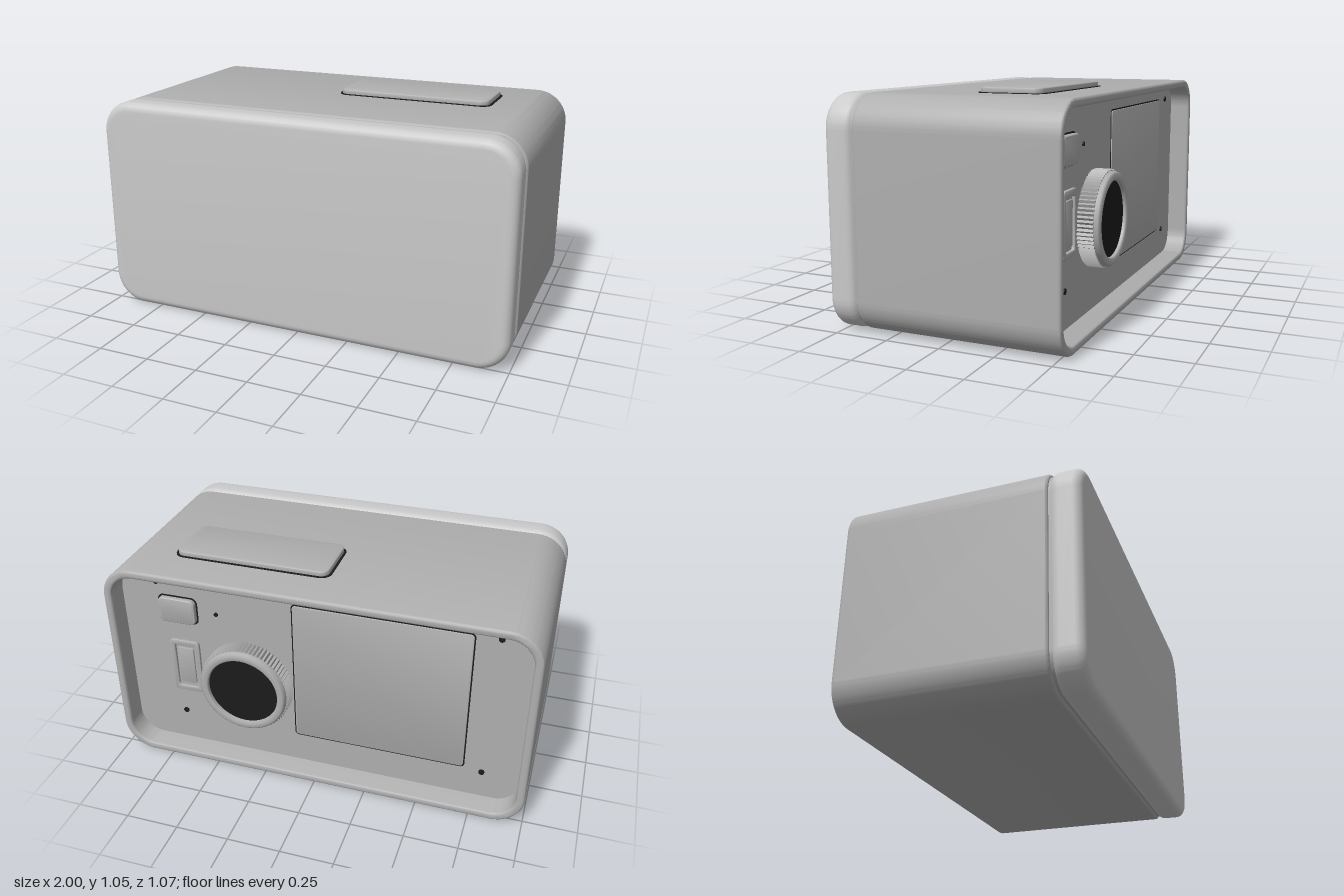
import * as THREE from 'three';
import { toCreasedNormals } from 'three/addons/utils/BufferGeometryUtils.js';

const mat = (name, color) => new THREE.MeshStandardMaterial({ name, color });

// Rounded rectangle centred on the origin
function roundedRect(w, h, r, Type = THREE.Shape) {
  const s = new Type(), x = w / 2, y = h / 2;
  s.moveTo(-x + r, -y);
  s.lineTo(x - r, -y);
  s.absarc(x - r, -y + r, r, -Math.PI / 2, 0);
  s.lineTo(x, y - r);
  s.absarc(x - r, y - r, r, 0, Math.PI / 2);
  s.lineTo(-x + r, y);
  s.absarc(-x + r, y - r, r, Math.PI / 2, Math.PI);
  s.lineTo(-x, -y + r);
  s.absarc(-x + r, -y + r, r, Math.PI, Math.PI * 1.5);
  return s;
}

// Slab from z0 to z1 with rounded rims, keeping the outline at full size
function slab(shape, z0, z1, bevel, crease = 0.6) {
  const g = new THREE.ExtrudeGeometry(shape, {
    depth: z1 - z0 - 2 * bevel, curveSegments: 14, bevelEnabled: bevel > 0,
    bevelThickness: bevel, bevelSize: bevel, bevelOffset: -bevel, bevelSegments: 5,
  });
  g.translate(0, 0, z0 + bevel);
  return toCreasedNormals(g, crease);
}

export function createModel() {
  const model = new THREE.Group();
  const light = mat('light grey', 0xcacaca);
  const grey = mat('mid grey', 0xafafaf);
  const dark = mat('near black', 0x1c1c1c);
  const H = 1.025, midY = H / 2, panelZ = -0.43;

  const add = (name, geometry, material, x = 0, y = 0, z = 0, parent = model) => {
    const m = new THREE.Mesh(geometry, material);
    m.name = name;
    m.position.set(x, y, z);
    parent.add(m);
    return m;
  };

  // Front cover, and the inset seam behind it
  add('frontCover', slab(roundedRect(2, H, 0.15), 0.395, 0.535, 0.04).clone(), light, 0, midY);
  add('coverSeam', slab(roundedRect(1.975, H - 0.025, 0.14), 0.37, 0.41, 0), grey, 0, midY);

  // Body shell, open at the back, closed by a recessed panel
  const shell = roundedRect(2, H, 0.15);
  shell.holes.push(roundedRect(1.92, H - 0.08, 0.115, THREE.Path));
  add('bodyShell', slab(shell, -0.535, 0.392, 0.014), grey, 0, midY);
  add('backPanel', slab(roundedRect(1.93, H - 0.07, 0.12), panelZ, 0.37, 0), grey, 0, midY);

  // Top bar button with its dark gap
  const topButton = new THREE.Group();
  topButton.name = 'topButton';
  topButton.position.set(0.35, H, -0.1875);
  topButton.rotation.x = -Math.PI / 2;
  model.add(topButton);
  add('buttonGap', slab(roundedRect(0.752, 0.306, 0.05), -0.01, 0.003, 0), dark, 0, 0, 0, topButton);
  add('buttonCap', slab(roundedRect(0.73, 0.285, 0.04), -0.01, 0.025, 0.008), grey, 0, 0, 0, topButton);

  // Battery cover with a thin dark outline
  add('batteryCoverGap', slab(roundedRect(0.826, 0.731, 0.02), -0.002, 0.01, 0), dark, -0.29, 0.56, panelZ);
  add('batteryCover', slab(roundedRect(0.814, 0.719, 0.016), -0.006, 0.01, 0.002), grey, -0.29, 0.56, panelZ);

  // Small back button
  add('backButtonGap', slab(roundedRect(0.196, 0.142, 0.03), -0.002, 0.01, 0), dark, 0.68, 0.8, panelZ);
  add('backButton', slab(roundedRect(0.182, 0.128, 0.025), -0.025, 0.01, 0.008), grey, 0.68, 0.8, panelZ);

  // Slide switch: raised frame around a sunken plate
  const frame = roundedRect(0.15, 0.29, 0.02);
  frame.holes.push(roundedRect(0.1, 0.235, 0.012, THREE.Path));
  add('switchFrame', slab(frame, -0.014, 0.01, 0.004), grey, 0.665, 0.49, panelZ);
  add('switchPlate', slab(roundedRect(0.082, 0.2, 0.01), -0.008, 0.01, 0.003), grey, 0.665, 0.49, panelZ);

  // Screws and pin hole
  const dots = [[0.78, 0.935, 0.014], [0.7, 0.21, 0.014], [-0.785, 0.185, 0.014],
    [-0.81, 0.92, 0.014], [0.49, 0.805, 0.01]];
  for (const [x, y, r] of dots) {
    const g = new THREE.CylinderGeometry(r, r, 0.012, 16).rotateX(Math.PI / 2);
    add(r > 0.012 ? 'screw' : 'pinHole', g, dark, x, y, panelZ);
  }

  // Knurled dial: toothed ring, smooth lip and dark centre
  const dial = new THREE.Group();
  dial.name = 'dial';
  dial.position.set(0.345, 0.46, 0);
  model.add(dial);
  const teeth = 72, points = [];
  for (let i = 0; i < teeth * 2; i++) {
    const a = (i / (teeth * 2)) * Math.PI * 2, r = i % 2 ? 0.211 : 0.221;
    points.push(new THREE.Vector2(Math.cos(a) * r, Math.sin(a) * r));
  }
  const gear = new THREE.Shape(points);
  gear.holes.push(new THREE.Path().absarc(0, 0, 0.178, 0, Math.PI * 2));
  add('dialKnurl', slab(gear, -0.505, panelZ + 0.01, 0), grey, 0, 0, 0, dial);
  const lip = [[0.172, 0.48], [0.172, 0.522], [0.178, 0.53], [0.2, 0.53], [0.21, 0.522], [0.213, 0.5]]
    .map(([r, z]) => new THREE.Vector2(r, z)).reverse();
  const lipMesh = add('dialLip', new THREE.LatheGeometry(lip, 64).rotateX(-Math.PI / 2), grey, 0, 0, 0, dial);
  lipMesh.material = Object.assign(grey, { side: THREE.DoubleSide });
  add('dialCentre', new THREE.CircleGeometry(0.176, 48).rotateY(Math.PI), dark, 0, 0, -0.512, dial);

  return model;
}
